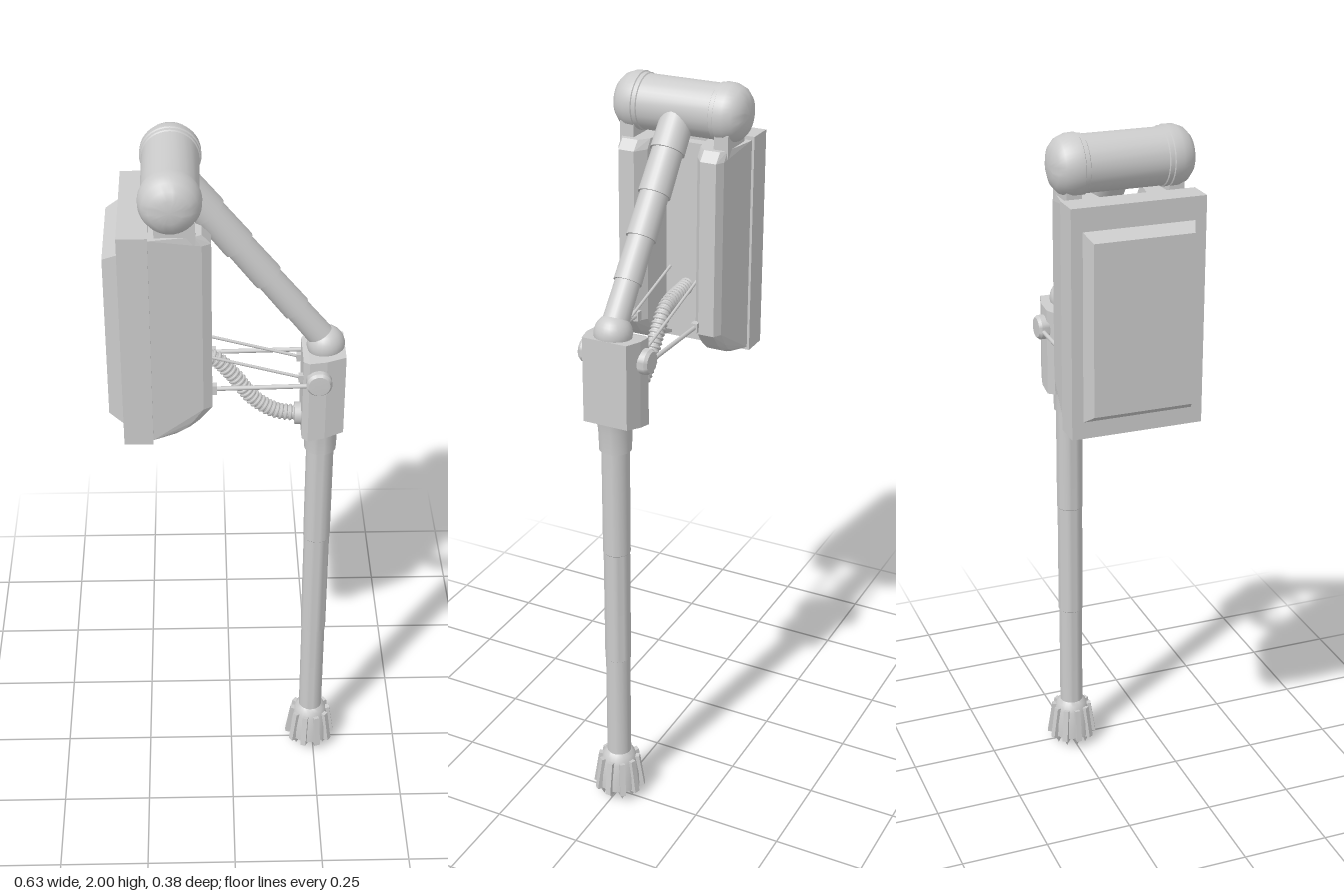
import * as THREE from 'three';
import { toCreasedNormals } from 'three/addons/utils/BufferGeometryUtils.js';
import { ConvexGeometry } from 'three/addons/geometries/ConvexGeometry.js';

const V = (x, y, z) => new THREE.Vector3(x, y, z);

export function createModel() {
  const model = new THREE.Group();
  const grey = new THREE.MeshStandardMaterial({ color: 0xcccccc });

  function add(name, geometry, x = 0, y = 0, z = 0, parent = model) {
    const mesh = new THREE.Mesh(geometry, grey);
    mesh.name = name;
    mesh.position.set(x, y, z);
    parent.add(mesh);
    return mesh;
  }
  const box = (name, w, h, d, x, y, z) => add(name, new THREE.BoxGeometry(w, h, d), x, y, z);
  // Lathe from [radius, height] pairs, with sharp edges kept
  const lathe = (pairs, sides = 32) => toCreasedNormals(
    new THREE.LatheGeometry(pairs.map(([r, y]) => new THREE.Vector2(r, y)), sides), 0.6);
  // Round bar between two points
  function bar(name, a, b, ra, rb = ra, sides = 12) {
    const mesh = add(name, new THREE.CylinderGeometry(rb, ra, a.distanceTo(b), sides));
    mesh.position.copy(a).lerp(b, 0.5);
    mesh.quaternion.setFromUnitVectors(V(0, 1, 0), b.clone().sub(a).normalize());
    return mesh;
  }

  // Foot with ribs and teeth
  const footX = 0.24;
  const foot = new THREE.Group();
  foot.name = 'foot';
  foot.position.x = footX;
  model.add(foot);
  add('footCore', lathe([[0, 0.012], [0.03, 0.012], [0.045, 0.02], [0.06, 0.03], [0.058, 0.07],
    [0.05, 0.115], [0.044, 0.135], [0.034, 0.145], [0, 0.145]], 24), 0, 0, 0, foot);
  add('footTip', new THREE.ConeGeometry(0.02, 0.015, 8).rotateX(Math.PI), 0, 0.008, 0, foot);
  for (let i = 0; i < 10; i++) {
    const spoke = new THREE.Group();
    spoke.name = 'footSpoke';
    spoke.rotation.y = i * Math.PI / 5;
    foot.add(spoke);
    const rib = add('footRib', new THREE.BoxGeometry(0.018, 0.1, 0.016), 0.057, 0.075, 0, spoke);
    rib.rotation.z = 0.15;
    add('footTooth', new THREE.ConeGeometry(0.013, 0.028, 4).rotateX(Math.PI), 0.05, 0.014, 0, spoke);
  }

  // Pole with joint lines and a collar
  add('pole', lathe([[0.034, 0.13], [0.034, 0.46], [0.036, 0.462], [0.036, 0.8],
    [0.0375, 0.802], [0.0375, 1.11]]), footX);
  add('poleCollar', lathe([[0, 1.11], [0.043, 1.11], [0.045, 1.17], [0.05, 1.2], [0, 1.2]]), footX);

  // Joint block with chamfered far side
  const blockPoints = [];
  for (const s of [-1, 1]) {
    for (const [x, z, low, high] of [[0.185, 0.06, 1.18, 1.42], [0.2, 0.077, 1.18, 1.425],
      [0.245, 0.077, 1.19, 1.43], [0.295, 0.063, 1.2, 1.435]])
      blockPoints.push(V(x, low, s * z), V(x, high, s * z));
  }
  add('jointBlock', new ConvexGeometry(blockPoints));
  add('elbow', new THREE.SphereGeometry(0.05, 24, 16), 0.245, 1.44, 0);

  // Segmented arm, thickening towards the head
  const armLow = V(0.24, 1.455, 0), armHigh = V(-0.13, 1.92, 0);
  const radii = [0.035, 0.037, 0.04, 0.043, 0.046];
  radii.forEach((r, i) => bar('armSegment' + (i + 1),
    armLow.clone().lerp(armHigh, i / 5), armLow.clone().lerp(armHigh, (i + 1) / 5),
    r, r - 0.002, 24));

  // Horizontal head drum with rounded caps
  const drum = add('headDrum', lathe([
    [0, -0.188], [0.03, -0.186], [0.052, -0.178], [0.068, -0.163], [0.077, -0.14], [0.078, -0.117],
    [0.075, -0.115], [0.075, -0.104], [0.072, -0.102], [0.072, 0.102], [0.075, 0.104],
    [0.075, 0.115], [0.078, 0.117], [0.077, 0.14], [0.068, 0.163], [0.052, 0.178],
    [0.03, 0.186], [0, 0.188]], 40), -0.15, 1.922, 0);
  drum.rotation.x = Math.PI / 2;

  // Hanging panel: plate, bevelled outer cover and inner wall
  box('panelPlate', 0.075, 0.6, 0.354, -0.2425, 1.55, 0);
  const cover = [];
  for (const s of [-1, 1]) {
    cover.push(V(-0.28, 1.295, s * 0.147), V(-0.28, 1.79, s * 0.147),
      V(-0.318, 1.32, s * 0.132), V(-0.318, 1.77, s * 0.132));
  }
  add('panelCover', new ConvexGeometry(cover));
  box('panelInnerWall', 0.03, 0.54, 0.15, -0.19, 1.55, 0);

  // Each lobe is one cross-section, shallower at its rounded ends
  const lobeSection = [[0.17, -0.205], [0.152, -0.075], [0.14, -0.052], [0.095, -0.052],
    [0.072, -0.085], [0.058, -0.205]];
  const lobeRows = [[1.258, 0.1], [1.266, 0.45], [1.28, 0.63], [1.3, 0.78], [1.34, 1],
    [1.815, 1], [1.84, 0.85]];

  for (const s of [-1, 1]) {
    const side = s > 0 ? 'front' : 'back';
    add(side + 'PanelLobe', new ConvexGeometry(lobeRows.flatMap(([y, k]) =>
      lobeSection.map(([z, x]) => V(-0.205 + (x + 0.205) * k, y, s * z)))));
    box(side + 'HeadBracket', 0.1, 0.06, 0.04, -0.14, 1.85, s * 0.135);

    // Pivot knob on the block
    const knob = add(side + 'Knob', lathe([[0, 0], [0.034, 0], [0.034, 0.022], [0.028, 0.03], [0, 0.031]], 24),
      0.225, 1.37, s * 0.07);
    knob.rotation.x = s * Math.PI / 2;

    // Outer and inner stay rods with their end fittings
    bar(side + 'OuterRod', V(-0.06, 1.36, s * 0.088), V(0.22, 1.366, s * 0.088), 0.006);
    box(side + 'OuterRodEnd', 0.02, 0.026, 0.018, -0.05, 1.36, s * 0.088);
    bar(side + 'InnerRod', V(-0.19, 1.47, s * 0.05), V(0.19, 1.365, s * 0.05), 0.004);
    box(side + 'InnerRodEnd', 0.016, 0.02, 0.016, 0.181, 1.367, s * 0.05);
  }

  // Ribbed hose sagging from the panel to the block
  const hosePath = new THREE.CatmullRomCurve3([V(-0.19, 1.42, 0), V(-0.05, 1.4, 0), V(0.0, 1.35, 0),
    V(0.06, 1.27, 0), V(0.12, 1.23, 0), V(0.195, 1.22, 0)]);
  add('hose', new THREE.TubeGeometry(hosePath, 48, 0.018, 12));
  const ringGeometry = new THREE.TorusGeometry(0.018, 0.0045, 6, 16);
  for (let i = 1; i < 36; i++) {
    const ring = add('hoseRib', ringGeometry);
    ring.position.copy(hosePath.getPointAt(i / 36));
    ring.quaternion.setFromUnitVectors(V(0, 0, 1), hosePath.getTangentAt(i / 36));
  }
  bar('hoseSocket', V(0.168, 1.22, 0), V(0.19, 1.22, 0), 0.03, 0.03, 20);

  return model;
}
